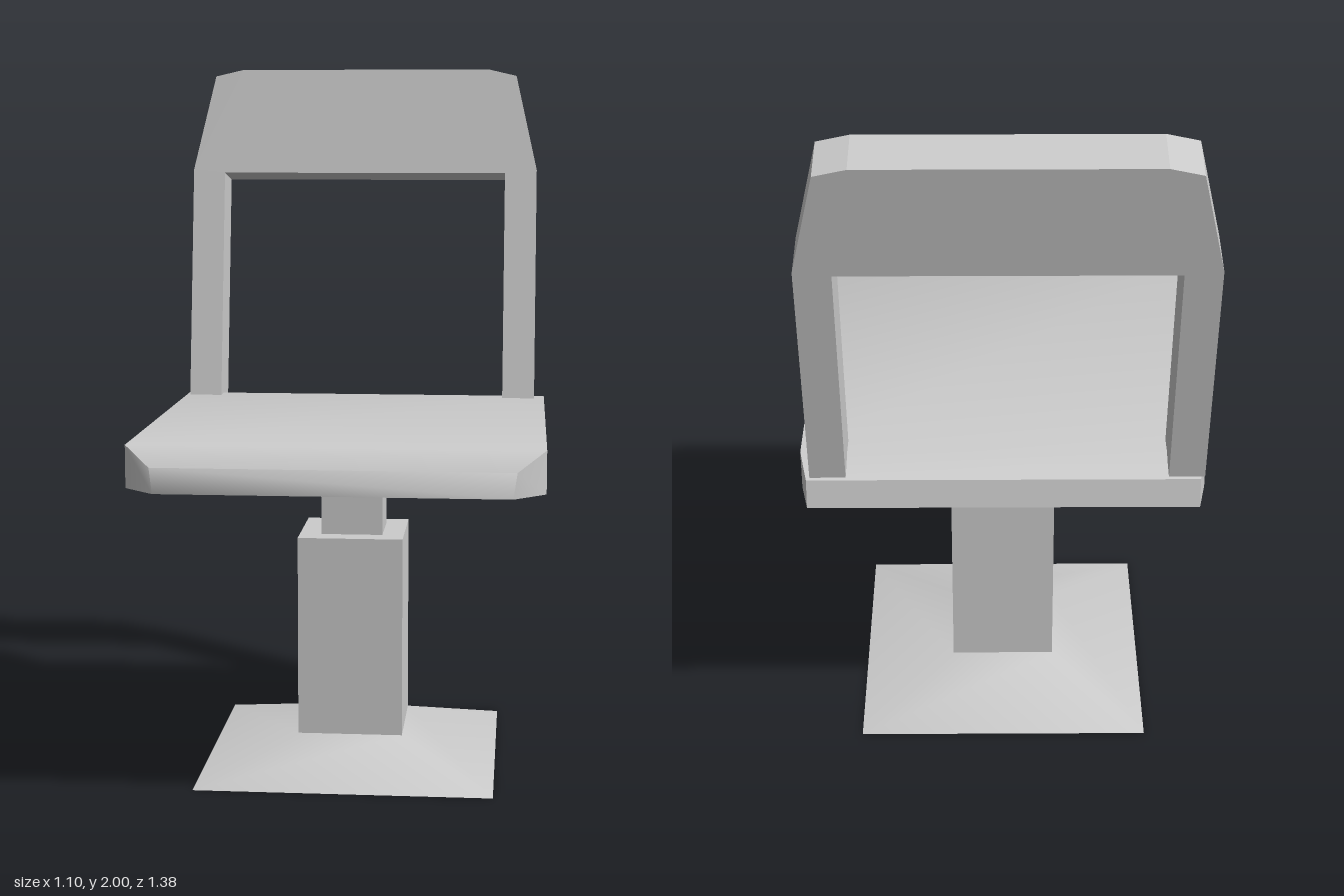
import * as THREE from 'three';
import { toCreasedNormals } from 'three/addons/utils/BufferGeometryUtils.js';

const material = new THREE.MeshStandardMaterial({ color: 0xcccccc });

function addPart(group, name, geometry, x = 0, y = 0, z = 0) {
  const mesh = new THREE.Mesh(geometry, material);
  mesh.name = name;
  mesh.position.set(x, y, z);
  group.add(mesh);
  return mesh;
}

// Cushion lofted through four-cornered cross-sections from back to front
function seatGeometry() {
  // [half width bottom, z bottom, half width top, z top, y top]
  const sections = [
    [0.53, -0.53, 0.53, -0.515, 0.97],
    [0.55, -0.43, 0.55, -0.43, 1.005],
    [0.55, 0.61, 0.55, 0.61, 1.005],
    [0.465, 0.69, 0.475, 0.68, 0.957],
  ];
  const bottom = 0.89;
  const positions = [];
  for (const [wb, zb, wt, zt, yt] of sections) {
    positions.push(wb, bottom, zb, wt, yt, zt, -wt, yt, zt, -wb, bottom, zb);
  }
  const index = [];
  for (let i = 0; i < sections.length - 1; i++) {
    for (let j = 0; j < 4; j++) {
      const a = i * 4 + j, b = i * 4 + (j + 1) % 4;
      index.push(a, b, b + 4, a, b + 4, a + 4);
    }
  }
  const f = (sections.length - 1) * 4;
  index.push(0, 2, 1, 0, 3, 2, f, f + 1, f + 2, f, f + 2, f + 3);
  const geometry = new THREE.BufferGeometry();
  geometry.setAttribute('position', new THREE.Float32BufferAttribute(positions, 3));
  geometry.setIndex(index);
  return toCreasedNormals(geometry, 0.9);
}

// Arch-shaped frame: two uprights joined by a broad top panel
function backrestGeometry(depth) {
  const half = [
    [0.433, 0], [0.53, 0], [0.53, 0.7], [0.465, 0.99], [0.38, 1.01],
  ];
  const outline = [[0.433, 0.69], ...half];
  const mirrored = outline.map(([x, y]) => [-x, y]).reverse();
  const shape = new THREE.Shape([...outline, ...mirrored].map(([x, y]) => new THREE.Vector2(x, y)));
  const geometry = new THREE.ExtrudeGeometry(shape, { depth, bevelEnabled: false });
  geometry.translate(0, 0, -depth);
  return geometry;
}

export function createModel() {
  const chair = new THREE.Group();
  chair.name = 'chair';
  const axisZ = -0.015;

  // Pyramid foot and stepped square pedestal
  const foot = new THREE.CylinderGeometry(0.15 * Math.SQRT2, 0.417 * Math.SQRT2, 0.09, 4);
  foot.rotateY(Math.PI / 4);
  addPart(chair, 'foot', foot, 0, 0.045, axisZ);
  addPart(chair, 'column', new THREE.BoxGeometry(0.3, 0.575, 0.3), 0, 0.3775, axisZ);
  addPart(chair, 'post', new THREE.BoxGeometry(0.176, 0.225, 0.176), 0, 0.7775, axisZ);

  addPart(chair, 'seat', seatGeometry());

  // Backrest leaning ten degrees to the rear
  const backrest = addPart(chair, 'backrest', backrestGeometry(0.144), -0.01, 1.005, -0.375);
  backrest.rotation.x = -THREE.MathUtils.degToRad(10);

  return chair;
}
